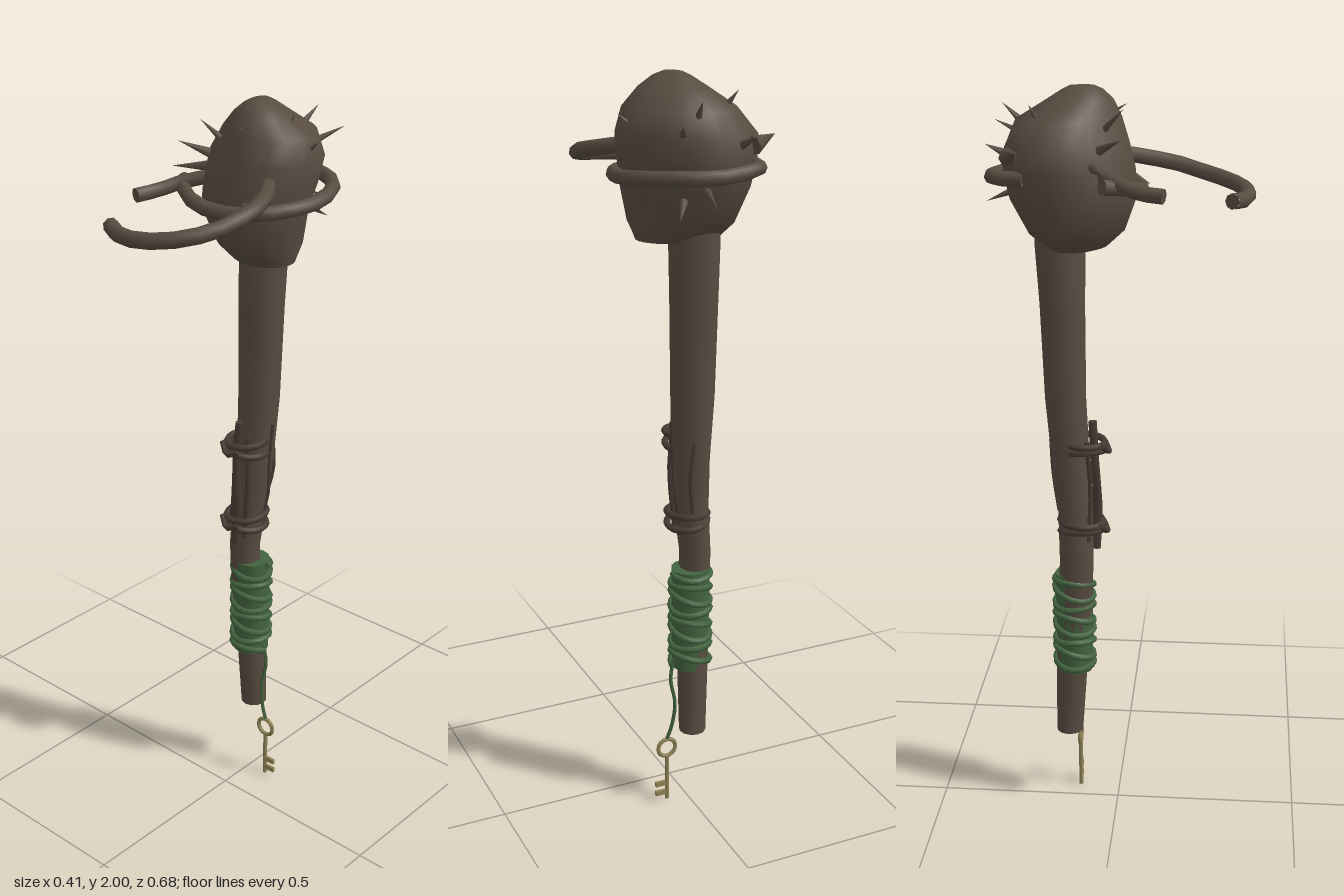
import * as THREE from 'three';
import { toCreasedNormals } from 'three/addons/utils/BufferGeometryUtils.js';

const paint = (name, color) => {
  const m = new THREE.MeshStandardMaterial({ color });
  m.name = name;
  return m;
};
const V = (p) => new THREE.Vector3(...p);

// Skin over horizontal sections [y, xMin, xMax, zMin, zMax], closed at both ends
function loft(sections, sides, shape) {
  const mid = ([y, x0, x1, z0, z1]) => [y, (x0 + x1) / 2, (x0 + x1) / 2, (z0 + z1) / 2, (z0 + z1) / 2];
  const rings = [mid(sections[0]), ...sections, mid(sections[sections.length - 1])];
  const pos = [], index = [];
  for (const [y, x0, x1, z0, z1] of rings) {
    for (let j = 0; j < sides; j++) {
      const a = (j / sides) * Math.PI * 2;
      const k = shape(a, y);
      pos.push((x0 + x1) / 2 + ((x1 - x0) / 2) * k * Math.cos(a), y, (z0 + z1) / 2 + ((z1 - z0) / 2) * k * Math.sin(a));
    }
  }
  const last = rings.length - 2;
  for (let i = 0; i <= last; i++) {
    for (let j = 0; j < sides; j++) {
      const a = i * sides + j, b = i * sides + ((j + 1) % sides);
      if (i > 0) index.push(a, a + sides, b);
      if (i < last) index.push(b, a + sides, b + sides);
    }
  }
  const g = new THREE.BufferGeometry();
  g.setAttribute('position', new THREE.Float32BufferAttribute(pos, 3));
  g.setIndex(index);
  return toCreasedNormals(g, 0.95);
}

export function createModel() {
  const root = new THREE.Group();
  root.name = 'thornyClub';
  const wood = paint('wood', 0x584c41);
  const darkWood = paint('darkWood', 0x463b33);
  const cloth = paint('greenCord', 0x43643f);
  const brass = paint('brass', 0x8f8455);

  const add = (name, geo, mat, parent = root) => {
    const m = new THREE.Mesh(geo, mat);
    m.name = name;
    parent.add(m);
    return m;
  };

  // Round strand along points, with flat ends
  const strand = (name, pts, r, mat, segs, sides = 8) => {
    const g = new THREE.Group();
    g.name = name;
    const curve = new THREE.CatmullRomCurve3(pts.map(V));
    add(name + 'Body', new THREE.TubeGeometry(curve, segs, r, sides), mat, g);
    for (const t of [0, 1]) {
      const p = curve.getPointAt(t), d = curve.getTangentAt(t).multiplyScalar(t ? 1 : -1);
      const cap = add(name + 'End', new THREE.CircleGeometry(r, sides), mat);
      cap.position.copy(p);
      cap.lookAt(p.clone().add(d));
      g.add(cap);
    }
    root.add(g);
  };

  // Gently bent shaft
  const shaft = [
    [0.22, -0.045, 0.028, -0.172, -0.098],
    [0.45, -0.054, 0.03, -0.17, -0.082],
    [0.62, -0.062, 0.02, -0.16, -0.068],
    [0.75, -0.066, 0.016, -0.156, -0.064],
    [0.88, -0.058, 0.036, -0.16, -0.066],
    [1.02, -0.054, 0.047, -0.176, -0.074],
    [1.2, -0.06, 0.055, -0.192, -0.083],
    [1.45, -0.064, 0.06, -0.202, -0.084],
    [1.6, -0.065, 0.064, -0.212, -0.082],
    [1.66, -0.06, 0.06, -0.212, -0.09],
  ];
  add('shaft', loft(shaft, 12, () => 1), wood);

  // Knotted, lopsided head
  const head = [
    [1.6, -0.07, 0.13, -0.18, -0.03],
    [1.64, -0.105, 0.142, -0.225, 0.012],
    [1.73, -0.14, 0.152, -0.265, 0.048],
    [1.8, -0.145, 0.168, -0.282, 0.04],
    [1.86, -0.145, 0.18, -0.28, 0.022],
    [1.92, -0.1, 0.16, -0.255, 0.004],
    [1.965, -0.045, 0.11, -0.18, -0.015],
    [1.99, -0.01, 0.075, -0.14, -0.04],
    [2.0, 0.01, 0.05, -0.12, -0.06],
  ];
  add('head', loft(head, 22, (a, y) => 1 + 0.1 * Math.sin(2 * a) + 0.02 * Math.sin(3 * a + y * 22)), wood);

  // Vine circling the head, its loose stub and the front curl
  strand('ringVine', [
    [-0.12, 1.79, -0.22], [-0.1, 1.79, -0.29], [-0.04, 1.785, -0.312], [0.03, 1.78, -0.312], [0.1, 1.78, -0.28],
    [0.16, 1.775, -0.22], [0.185, 1.765, -0.125], [0.168, 1.76, -0.04], [0.125, 1.755, 0.02],
    [0.04, 1.75, 0.058], [-0.04, 1.755, 0.058], [-0.11, 1.77, 0.03], [-0.16, 1.78, -0.025],
  ], 0.019, wood, 16);
  strand('vineStub', [[-0.185, 1.765, 0.125], [-0.165, 1.77, 0.06], [-0.135, 1.785, 0.01], [-0.08, 1.8, -0.04]], 0.019, wood, 5);
  strand('curlVine', [
    [0.09, 1.825, -0.05], [0.135, 1.82, 0], [0.17, 1.805, 0.06], [0.183, 1.79, 0.135], [0.165, 1.77, 0.21],
    [0.12, 1.755, 0.28], [0.05, 1.745, 0.322], [-0.04, 1.738, 0.322], [-0.108, 1.742, 0.288],
  ], 0.02, wood, 11);

  // Thorns: base, tip, radius
  const thorns = [
    [[-0.03, 1.88, -0.05], [-0.065, 1.955, 0.02], 0.013],
    [[-0.075, 1.85, -0.05], [-0.14, 1.89, 0.02], 0.015],
    [[-0.09, 1.82, -0.06], [-0.195, 1.81, -0.015], 0.016],
    [[0.04, 1.92, -0.04], [0.05, 1.955, 0.02], 0.01],
    [[0.03, 1.88, -0.21], [0.05, 1.955, -0.295], 0.017],
    [[0.06, 1.86, -0.21], [0.112, 1.905, -0.325], 0.015],
    [[0.105, 1.92, -0.11], [0.122, 1.975, -0.112], 0.01],
    [[0.14, 1.87, -0.125], [0.19, 1.915, -0.122], 0.011],
    [[-0.045, 1.9, -0.18], [-0.085, 1.965, -0.21], 0.015],
    [[0.02, 1.75, -0.24], [0.03, 1.71, -0.338], 0.014],
    [[0.06, 1.72, -0.22], [0.1, 1.68, -0.28], 0.013],
    [[0.09, 1.77, 0.03], [0.115, 1.745, 0.075], 0.012],
    [[-0.1, 1.84, -0.26], [-0.172, 1.86, -0.232], 0.024],
    [[-0.06, 1.84, -0.26], [-0.08, 1.87, -0.32], 0.014],
  ];
  for (const [base, tip, r] of thorns) {
    const a = V(base), b = V(tip), d = b.clone().sub(a);
    const m = add('thorn', new THREE.ConeGeometry(r, d.length(), 7), wood);
    m.position.copy(a).add(b).multiplyScalar(0.5);
    m.quaternion.setFromUnitVectors(new THREE.Vector3(0, 1, 0), d.normalize());
  }

  // Twigs bound along the front and side of the shaft
  strand('frontTwig', [[-0.008, 1.14, -0.066], [-0.012, 1.0, -0.058], [-0.002, 0.9, -0.052], [-0.012, 0.78, -0.056]], 0.012, darkWood, 6, 6);
  strand('frontTwig', [[0.02, 1.1, -0.07], [0.026, 0.97, -0.062], [0.012, 0.8, -0.064]], 0.008, darkWood, 5, 6);
  strand('frontTwig', [[-0.036, 1.09, -0.08], [-0.03, 0.95, -0.07], [-0.044, 0.81, -0.075]], 0.007, darkWood, 5, 6);
  strand('sideTwig', [[0.053, 1.13, -0.13], [0.046, 1.02, -0.125], [0.04, 0.92, -0.13], [0.026, 0.84, -0.12]], 0.005, darkWood, 7, 5);
  strand('backTwig', [[0.01, 1.08, -0.18], [0.02, 0.98, -0.176], [0.005, 0.88, -0.16]], 0.005, darkWood, 6, 5);

  // Paired bindings
  for (const [y, x, z] of [[1.07, -0.004, -0.092], [0.845, -0.008, -0.096]]) {
    [-1, 1].forEach((s) => {
      const b = add('binding', new THREE.TorusGeometry(0.053, 0.009, 6, 18), darkWood);
      b.position.set(x, y + s * 0.013, z);
      b.rotation.set(Math.PI / 2 + s * 0.06, s * 0.1 - 0.05, 0);
      b.scale.y = 1.1;
    });
    strand('bindingTail', [[x + 0.02, y, z + 0.06], [x - 0.01, y - 0.012, z + 0.07], [x - 0.04, y + 0.012, z + 0.055]], 0.008, darkWood, 5, 6);
  }

  // Green grip: sleeve with a wound cord
  const sleeve = add('gripSleeve', new THREE.CylinderGeometry(0.052, 0.05, 0.29, 14), cloth);
  sleeve.position.set(-0.008, 0.56, -0.119);
  const coil = [], turns = 8;
  for (let i = 0; i <= turns * 12; i++) {
    const a = (i / 12) * Math.PI * 2, t = i / (turns * 12);
    coil.push([-0.008 + 0.053 * Math.cos(a), 0.42 + 0.28 * t + 0.008 * Math.sin(a * 1.37), -0.119 + 0.053 * Math.sin(a)]);
  }
  strand('gripCord', coil, 0.009, cloth, turns * 16, 6);

  // Cord hanging down to the key
  strand('keyCord', [[0.04, 0.44, -0.118], [0.05, 0.38, -0.12], [0.036, 0.3, -0.118], [0.044, 0.23, -0.114], [0.06, 0.185, -0.112]], 0.005, cloth, 14, 6);

  // Key
  const key = new THREE.Group();
  key.name = 'key';
  key.position.set(0.058, 0, -0.112);
  root.add(key);
  add('keyBow', new THREE.TorusGeometry(0.026, 0.006, 6, 16), brass, key).position.y = 0.163;
  add('keyStem', new THREE.CylinderGeometry(0.006, 0.006, 0.138, 8), brass, key).position.y = 0.069;
  for (const y of [0.022, 0.051]) {
    add('keyTooth', new THREE.BoxGeometry(0.032, 0.014, 0.008), brass, key).position.set(0.018, y, 0);
  }
  return root;
}
